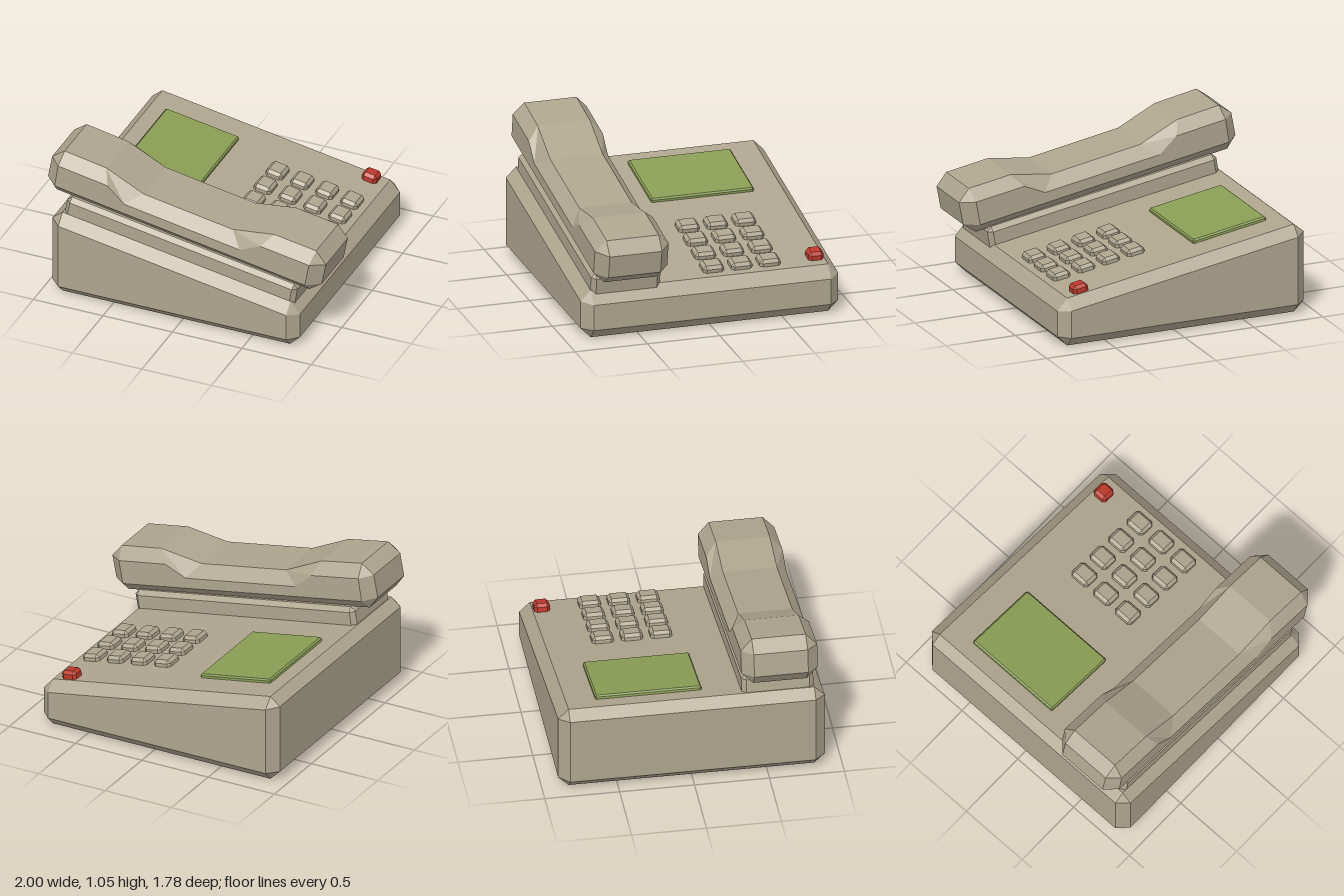
import * as THREE from 'three';
import { ConvexGeometry } from 'three/addons/geometries/ConvexGeometry.js';

const V = (x, y, z) => new THREE.Vector3(x, y, z);
const SLOPE = Math.atan(0.171); // tilt of the top panel
const SURFACE = 0.461;          // panel height at x = 0

const material = (name, color) => {
  const m = new THREE.MeshStandardMaterial({ color });
  m.name = name;
  return m;
};

function mesh(name, geometry, mat) {
  const m = new THREE.Mesh(geometry, mat);
  m.name = name;
  return m;
}

// Box with all edges bevelled by c
function bevelBox(w, h, d, c) {
  const pts = [];
  for (const sx of [-1, 1]) for (const sy of [-1, 1]) for (const sz of [-1, 1]) {
    const x = sx * w / 2, y = sy * h / 2, z = sz * d / 2;
    pts.push(V(x, y - sy * c, z - sz * c), V(x - sx * c, y, z - sz * c), V(x - sx * c, y - sy * c, z));
  }
  return new ConvexGeometry(pts);
}

// Bevelled wedge: the left side is taller than the right
function baseGeometry() {
  const pts = [];
  const sides = [
    { xo: -0.94, xi: -0.87, top: 0.61, low: 0.54, edge: 0.552 },
    { xo: 0.84, xi: 0.77, top: 0.33, low: 0.26, edge: 0.248 },
  ];
  for (const s of sides) for (const sz of [-1, 1]) {
    const zo = sz * 0.89, zi = sz * 0.82;
    pts.push(V(s.xo, 0.07, zi), V(s.xi, 0, zi), V(s.xi, 0.07, zo));
    pts.push(V(s.xo, s.edge, zi), V(s.xi, s.top, zi), V(s.xi, s.low, zo));
  }
  return new ConvexGeometry(pts);
}

// Handset lofted through octagonal sections along its length
function handsetGeometry() {
  const low = x => 0.81 - 0.1765 * (x + 0.92);
  const bottom = x => 0.738 - 0.1747 * (x + 0.94);
  const under = x => [[x, low(x)], [x, bottom(x)]];
  // each section: top, upper side, lower side, bottom as [x, y]
  const sections = [
    [[-0.97, 0.985], [-0.97, 0.985], [-1, 0.825], [-1, 0.825]],
    [[-0.88, 1.05], [-0.895, 0.972], [-0.92, 0.81], [-0.94, 0.738]],
    [[-0.58, 0.993], [-0.54, 0.908], ...under(-0.56)],
    [[-0.31, 0.858], [-0.42, 0.795], ...under(-0.38)],
    [[0.33, 0.745], [0.41, 0.65], ...under(0.37)],
    [[0.63, 0.782], [0.56, 0.715], ...under(0.58)],
    [[0.93, 0.73], [0.91, 0.655], [0.88, 0.492], [0.88, 0.42]],
    [[1, 0.64], [1, 0.64], [0.97, 0.483], [0.97, 0.483]],
  ];
  const rings = sections.map((s, i) => {
    const end = i === 0 || i === sections.length - 1;
    const zs = end ? [0.76, 0.76, 0.76, 0.76] : [0.76, 0.835, 0.835, 0.76];
    const front = s.map((p, k) => V(p[0], p[1], zs[k]));
    const back = front.map(p => V(p.x, p.y, 1.16 - p.z)).reverse();
    return [...front, ...back];
  });
  const out = [];
  const tri = (a, b, c) => {
    if (b.clone().sub(a).cross(c.clone().sub(a)).length() > 1e-7) out.push(a, b, c);
  };
  for (let i = 0; i < rings.length - 1; i++) for (let j = 0; j < 8; j++) {
    const a = rings[i], b = rings[i + 1], k = (j + 1) % 8;
    tri(a[j], a[k], b[k]);
    tri(a[j], b[k], b[j]);
  }
  const l = rings[0], r = rings[rings.length - 1];
  tri(r[0], r[3], r[4]); tri(r[0], r[4], r[7]);
  tri(l[0], l[4], l[3]); tri(l[0], l[7], l[4]);
  const g = new THREE.BufferGeometry().setFromPoints(out);
  g.computeVertexNormals();
  return g;
}

export function createModel() {
  const model = new THREE.Group();
  model.name = 'deskPhone';
  const beige = material('beigePlastic', 0xaea58e);
  const green = material('greenScreen', 0x8a9d55);
  const red = material('redButton', 0xc0392b);

  model.add(mesh('base', baseGeometry(), beige));
  model.add(mesh('handset', handsetGeometry(), beige));

  // Everything standing on the sloping panel
  const panel = new THREE.Group();
  panel.name = 'topPanelParts';
  panel.position.y = SURFACE;
  panel.rotation.z = -SLOPE;
  model.add(panel);
  // rise = height above the panel, h = full height with the sunken foot
  const place = (name, x, z, w, d, rise, h, c, mat) => {
    const m = mesh(name, bevelBox(w, h, d, c), mat);
    m.position.set(x / Math.cos(SLOPE), rise - h / 2, z);
    panel.add(m);
  };

  place('cradle', -0.035, 0.58, 1.68, 0.48, 0.123, 0.2, 0.03, beige);
  place('screen', -0.497, -0.27, 0.535, 0.71, 0.027, 0.045, 0.01, green);
  for (const z of [-0.44, -0.245, -0.05])
    for (const x of [0.123, 0.302, 0.481, 0.66])
      place('key', x, z, 0.125, 0.145, 0.045, 0.075, 0.02, beige);
  place('redButton', 0.658, -0.76, 0.108, 0.105, 0.055, 0.085, 0.02, red);

  return model;
}
